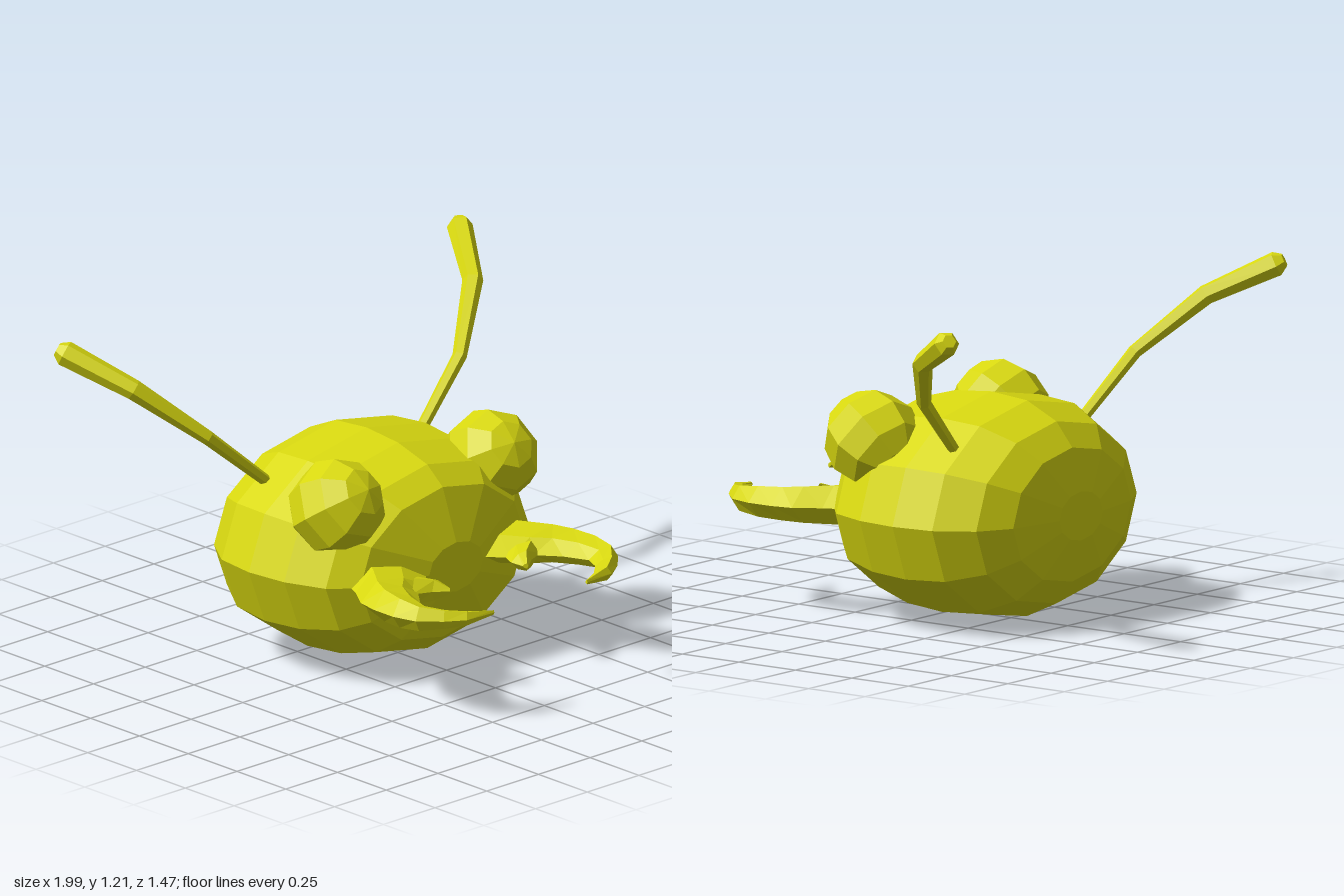
import * as THREE from 'three';

const shell = new THREE.MeshStandardMaterial({ color: 0xd8d810 });
shell.name = 'yellow shell';

// Flat-faced solid through rings of equal point count, closed at both ends.
function loft(rings) {
  const tris = [];
  const n = rings[0].length;
  for (let i = 0; i < rings.length - 1; i++) {
    const a = rings[i], b = rings[i + 1];
    for (let j = 0; j < n; j++) {
      const k = (j + 1) % n;
      tris.push([a[j], a[k], b[k]], [a[j], b[k], b[j]]);
    }
  }
  const first = rings[0], last = rings[rings.length - 1];
  for (let j = 1; j < n - 1; j++) {
    tris.push([first[0], first[j + 1], first[j]], [last[0], last[j], last[j + 1]]);
  }
  // A negative volume means the faces point inward, so turn them round.
  let volume = 0;
  for (const [a, b, c] of tris) volume += a.dot(b.clone().cross(c));
  const points = tris.flatMap(([a, b, c]) => (volume < 0 ? [a, c, b] : [a, b, c]));
  const geometry = new THREE.BufferGeometry().setFromPoints(points);
  geometry.computeVertexNormals();
  return geometry;
}

function part(name, geometry) {
  const mesh = new THREE.Mesh(geometry, shell);
  mesh.name = name;
  return mesh;
}

// Twelve-sided oval head; each entry is [z, scale].
function headGeometry() {
  const profile = [
    [0.3, 0.23], [0.23, 0.7], [0.15, 0.86], [0, 0.965], [-0.16, 1],
    [-0.32, 0.965], [-0.45, 0.815], [-0.52, 0.6], [-0.56, 0.22],
  ];
  return loft(profile.map(([z, s]) => Array.from({ length: 12 }, (_, i) => {
    const a = (i / 12) * Math.PI * 2;
    return new THREE.Vector3(0.57 * s * Math.sin(a), 0.4 + 0.4 * s * Math.cos(a), z);
  })));
}

// Six-sided blade; each entry is [outer x, outer z, inner x, inner z, half height].
function bladeGeometry(sections, side) {
  const outline = [[0, 0], [0.25, 1], [0.65, 0.75], [1, 0], [0.65, -0.75], [0.25, -1]];
  return loft(sections.map(([ox, oz, ix, iz, h]) => outline.map(([t, v]) =>
    new THREE.Vector3(side * (ox + (ix - ox) * t), 0.4 + v * h, oz + (iz - oz) * t))));
}

// Bent six-sided feeler that thickens toward a small bevelled tip.
function antennaGeometry(side) {
  const path = [
    [0.37, 0.66, -0.28, 0.021], [0.61, 0.87, -0.33, 0.026], [0.82, 1.06, -0.485, 0.037],
    [0.955, 1.175, -0.695, 0.046], [0.97, 1.188, -0.718, 0.025],
  ];
  const points = path.map(([x, y, z]) => new THREE.Vector3(side * x, y, z));
  const across = new THREE.Vector3(-0.66 * side, 0.75, 0).normalize();
  return loft(points.map((p, i) => {
    const before = points[Math.max(i - 1, 0)];
    const after = points[Math.min(i + 1, points.length - 1)];
    const other = after.clone().sub(before).cross(across).normalize();
    return Array.from({ length: 6 }, (_, j) => {
      const a = (j / 6) * Math.PI * 2, r = path[i][3];
      return p.clone().addScaledVector(across, r * Math.cos(a)).addScaledVector(other, r * Math.sin(a));
    });
  }));
}

// Faceted eye with its pole turned forward and up.
function eyeGeometry(side) {
  const sphere = new THREE.SphereGeometry(0.175, 8, 6).toNonIndexed();
  sphere.rotateX(0.98);
  sphere.rotateY(-side * 0.12);
  sphere.translate(side * 0.37, 0.66, 0.08);
  sphere.computeVertexNormals();
  return sphere;
}

const mandible = [
  [0.40, 0.16, 0.08, 0.20, 0.07],
  [0.44, 0.25, 0.13, 0.28, 0.07],
  [0.50, 0.34, 0.20, 0.36, 0.065],
  [0.515, 0.42, 0.28, 0.40, 0.06],
  [0.515, 0.52, 0.345, 0.48, 0.055],
  [0.49, 0.61, 0.385, 0.57, 0.045],
  [0.42, 0.68, 0.36, 0.63, 0.034],
  [0.35, 0.725, 0.305, 0.68, 0.025],
  [0.225, 0.733, 0.225, 0.722, 0.008],
];
const tooth = [
  [0.31, 0.40, 0.20, 0.33, 0.05],
  [0.24, 0.43, 0.17, 0.40, 0.038],
  [0.19, 0.468, 0.175, 0.455, 0.01],
];

export function createModel() {
  const model = new THREE.Group();
  model.name = 'insectHead';
  model.add(part('head', headGeometry()));
  for (const [label, side] of [['left', 1], ['right', -1]]) {
    model.add(
      part(label + 'Eye', eyeGeometry(side)),
      part(label + 'Antenna', antennaGeometry(side)),
      part(label + 'Mandible', bladeGeometry(mandible, side)),
      part(label + 'MandibleTooth', bladeGeometry(tooth, side)),
    );
  }
  return model;
}
